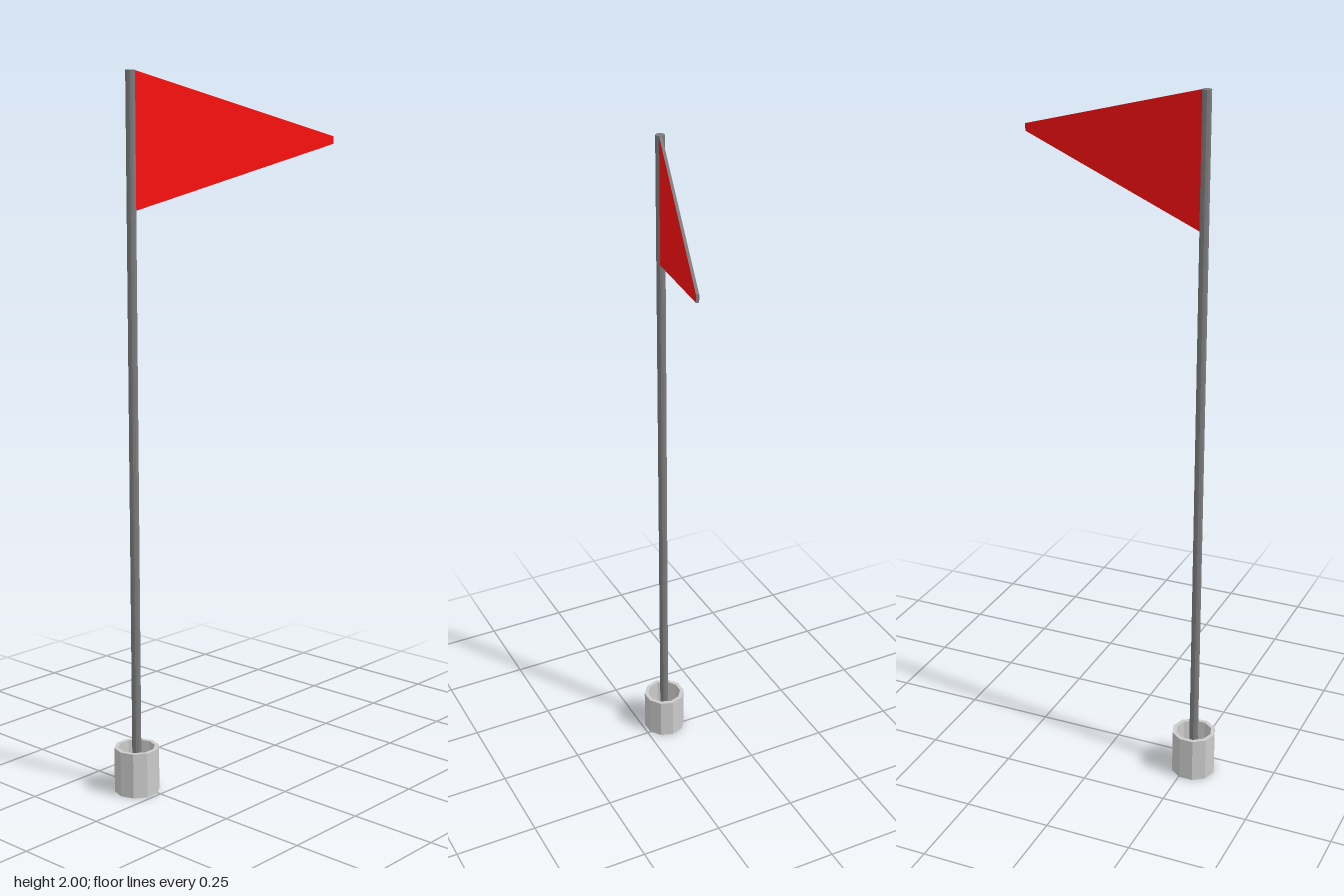
import * as THREE from 'three';

export function createModel() {
  const model = new THREE.Group();
  const mat = (color) => new THREE.MeshStandardMaterial({ color, flatShading: true });
  const cupGrey = mat(0xcccccc), poleGrey = mat(0x7c7c7c), red = mat(0xff1010);
  const sides = 10;

  // Everything shares the pole's axis
  const stand = new THREE.Group();
  stand.name = 'flagStand';
  stand.position.set(-0.071, 0, 0.272);
  model.add(stand);

  const add = (name, geometry, material) => {
    const mesh = new THREE.Mesh(geometry, material);
    mesh.name = name;
    stand.add(mesh);
    return mesh;
  };

  // Hollow cup: underside, outer wall, rim, inner wall, floor
  const profile = [[0, 0], [0.064, 0], [0.064, 0.13], [0.052, 0.13], [0.052, 0.012], [0, 0.012]]
    .map(([r, y]) => new THREE.Vector2(r, y));
  add('cup', new THREE.LatheGeometry(profile, sides), cupGrey);

  // Pole
  const poleBottom = 0.006, poleTop = 2;
  const pole = add('pole', new THREE.CylinderGeometry(0.013, 0.013, poleTop - poleBottom, sides), poleGrey);
  pole.position.y = (poleTop + poleBottom) / 2;

  // Tapered pennant with a blunt tip: red faces, grey edges
  const outline = new THREE.Shape([[0.008, 1.632], [0.64, 1.807], [0.64, 1.828], [0.008, 2]]
    .map(([x, y]) => new THREE.Vector2(x, y)));
  const thickness = 0.008;
  const cloth = new THREE.ExtrudeGeometry(outline, { depth: thickness, bevelEnabled: false });
  cloth.translate(0, 0, -thickness / 2);
  add('flag', cloth, [red, poleGrey]).rotation.y = THREE.MathUtils.degToRad(72);

  return model;
}
